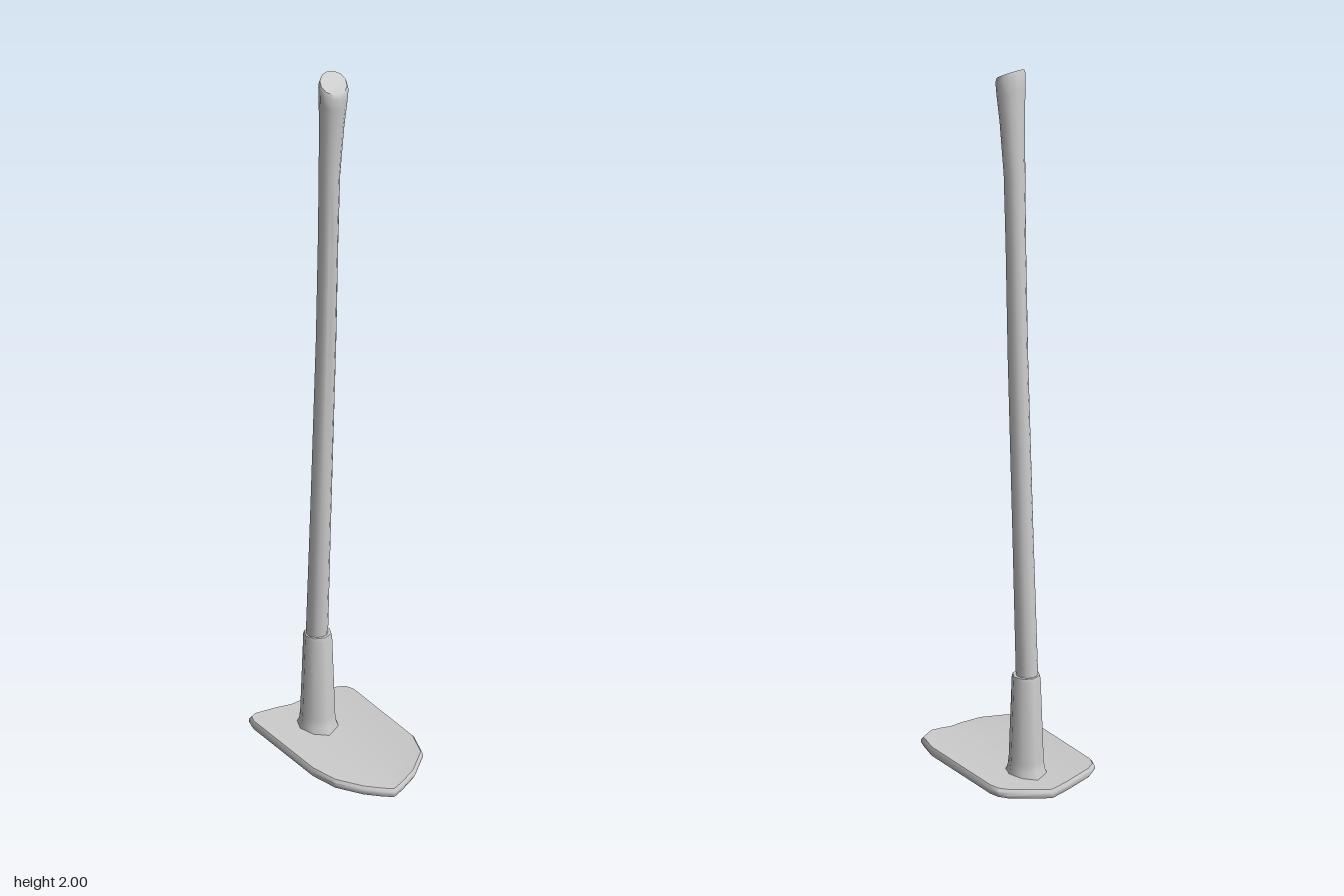
import * as THREE from 'three';
import { toCreasedNormals } from 'three/addons/utils/BufferGeometryUtils.js';

// Skin a surface over closed rings of points; optionally cap the last ring.
function loft(rings, capEnd) {
  const n = rings[0].length;
  const pos = rings.flat(2);
  const idx = [];
  for (let i = 0; i < rings.length - 1; i++) {
    for (let j = 0; j < n; j++) {
      const k = (j + 1) % n;
      const a = i * n + j, b = i * n + k, c = a + n, d = b + n;
      idx.push(a, c, d, a, d, b);
    }
  }
  if (capEnd) {
    const s = (rings.length - 1) * n;
    for (let j = 1; j < n - 1; j++) idx.push(s, s + j + 1, s + j);
  }
  const geo = new THREE.BufferGeometry();
  geo.setAttribute('position', new THREE.Float32BufferAttribute(pos, 3));
  geo.setIndex(idx);
  return geo;
}

export function createModel() {
  const group = new THREE.Group();
  const material = new THREE.MeshStandardMaterial({ color: 0xcccccc });
  const add = (name, geo) => {
    const mesh = new THREE.Mesh(toCreasedNormals(geo, 0.8), material);
    mesh.name = name;
    group.add(mesh);
    return mesh;
  };

  // Blade: shield outline [z, half width], folded into a shallow V with a bevelled rim
  const outline = [
    [-0.25, 0], [-0.245, 0.05], [-0.23, 0.127], [-0.216, 0.148], [-0.19, 0.157],
    [0.095, 0.157], [0.17, 0.135], [0.22, 0.078], [0.24, 0.03], [0.248, 0],
  ];
  const inset = 0.965, thick = 0.025;
  const bladePoint = (x, z, h) => {
    const u = Math.abs(x) / 0.157;
    return [x, 0.038 * u + 0.01 * (0.5 - 2 * z) * (1 - u) + h, z];
  };
  add('blade', loft(outline.map(([z, w]) => {
    const zi = z * 0.98, wi = w * inset;
    return [
      bladePoint(0, zi, thick), bladePoint(wi, zi, thick),
      bladePoint(w, z, thick * 0.65), bladePoint(w, z, thick * 0.35),
      bladePoint(wi, zi, 0), bladePoint(0, zi, 0), bladePoint(-wi, zi, 0),
      bladePoint(-w, z, thick * 0.35), bladePoint(-w, z, thick * 0.65),
      bladePoint(-wi, zi, thick),
    ];
  }), false));

  // Socket: eight-sided tapered collar, flared where it meets the blade
  const profile = [
    [0.057, 0.025], [0.055, 0.038], [0.049, 0.052], [0.046, 0.075],
    [0.038, 0.302], [0.036, 0.312], [0.02, 0.312],
  ].map(([r, y]) => new THREE.Vector2(r, y));
  add('socket', new THREE.LatheGeometry(profile, 8)).position.z = -0.12;

  // Handle: gently curved pole, swelling to a slanted end
  // [height, centre x, centre z, radius x, radius z, slant]
  const sections = [
    [0.28, -0.002, -0.122, 0.029, 0.028, 0],
    [0.7, 0.001, -0.106, 0.027, 0.027, 0],
    [1.2, 0.005, -0.088, 0.026, 0.027, 0],
    [1.5, 0.004, -0.077, 0.026, 0.027, 0],
    [1.7, 0.003, -0.069, 0.028, 0.027, 0],
    [1.85, 0.004, -0.06, 0.034, 0.029, 0.2],
    [1.93, 0.005, -0.055, 0.039, 0.032, 0.45],
    [1.969, 0.005, -0.053, 0.041, 0.033, 0.66],
    [1.98, 0.005, -0.053, 0.037, 0.03, 0.66],
  ];
  const sides = 12;
  add('handle', loft(sections.map(([y, cx, cz, rx, rz, slant]) =>
    Array.from({ length: sides }, (_, j) => {
      const a = (j / sides) * Math.PI * 2;
      const dz = rz * Math.sin(a);
      return [cx + rx * Math.cos(a), y - slant * dz, cz + dz];
    })), true));

  return group;
}
